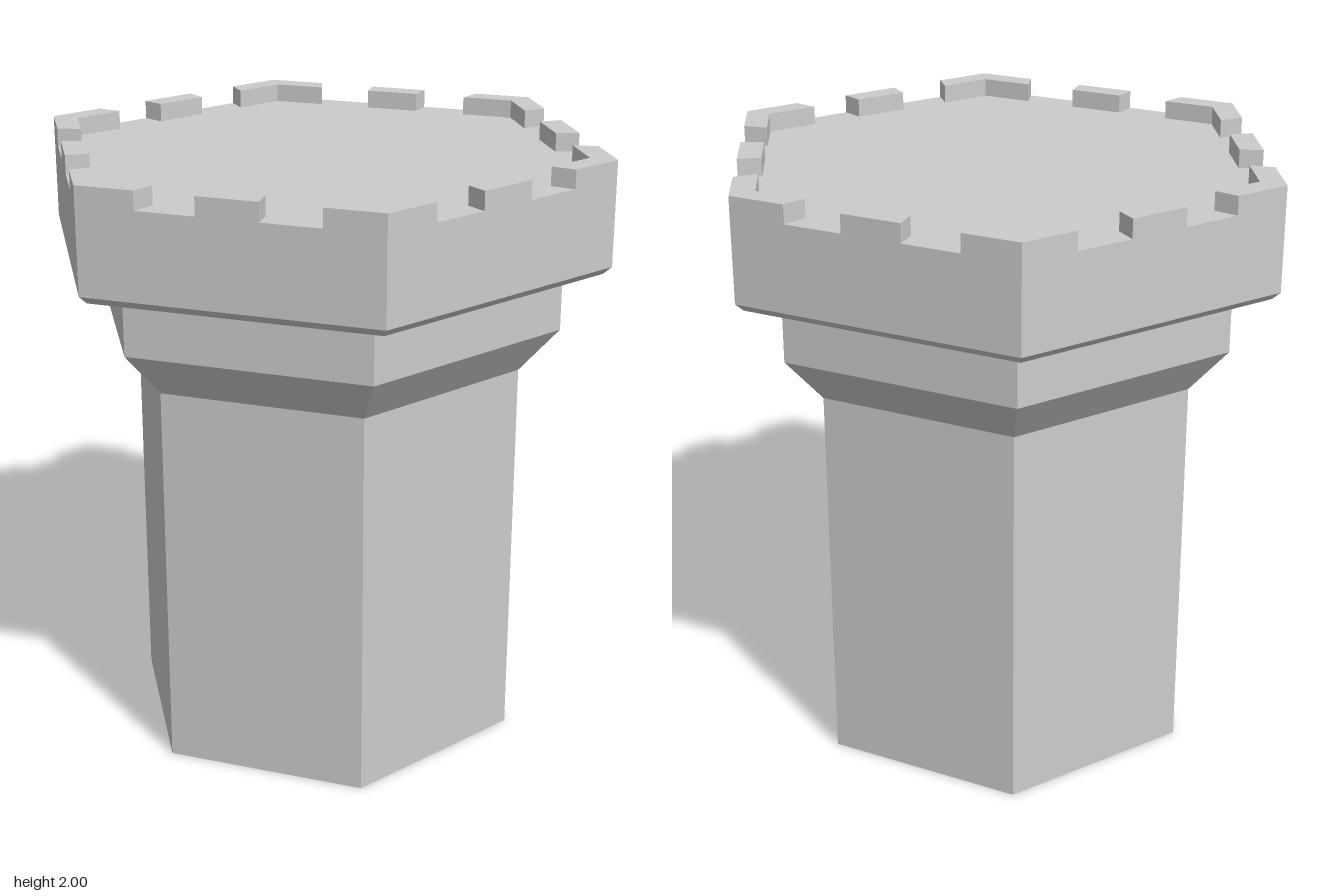
import * as THREE from 'three';

const SIDES = 6;
const HEAD_R = 0.951;   // corner radius of the head
const INNER_R = 0.864;  // corner radius of the battlement's inner wall
const FLOOR_Y = 1.94;
const TOP_Y = 2;

const material = new THREE.MeshStandardMaterial({ color: 0xcccccc, flatShading: true });

// Six-sided turned section from [radius, height] points, bottom to top
function section(name, profile) {
  const points = profile.map(([r, y]) => new THREE.Vector2(r, y));
  const mesh = new THREE.Mesh(new THREE.LatheGeometry(points, SIDES), material);
  mesh.name = name;
  return mesh;
}

// Upright block with the given outline, seen from above
function merlonGeometry(outline) {
  const shape = new THREE.Shape(outline.map(([x, y]) => new THREE.Vector2(x, y)));
  const geometry = new THREE.ExtrudeGeometry(shape, { depth: TOP_Y - FLOOR_Y, bevelEnabled: false });
  return geometry.rotateX(-Math.PI / 2).translate(0, FLOOR_Y, 0);
}

export function createModel() {
  const model = new THREE.Group();
  model.name = 'hexagonalTower';

  model.add(
    section('shaft', [[0, 0], [0.667, 0], [0.667, 1.29]]),
    section('collar', [[0.667, 1.29], [0.797, 1.44], [0.797, 1.637]]),
    section('head', [[0.797, 1.637], [0.924, 1.637], [HEAD_R, 1.662], [HEAD_R, FLOOR_Y], [0, FLOOR_Y]])
  );

  // Corner merlons wrap around each corner; their ends are cut radially
  const end = 0.188 / HEAD_R; // distance from the corner along the wall
  const sideX = end * Math.cos(Math.PI / 6);
  const sideY = 1 - end * Math.sin(Math.PI / 6);
  const corner = merlonGeometry([
    [0, HEAD_R], [-sideX * HEAD_R, sideY * HEAD_R], [-sideX * INNER_R, sideY * INNER_R],
    [0, INNER_R], [sideX * INNER_R, sideY * INNER_R], [sideX * HEAD_R, sideY * HEAD_R],
  ]);

  // Wall merlons stand in the middle of each wall
  const flat = Math.cos(Math.PI / 6);
  const half = 0.098 / HEAD_R;
  const wall = merlonGeometry([
    [-half * HEAD_R, flat * HEAD_R], [-half * INNER_R, flat * INNER_R],
    [half * INNER_R, flat * INNER_R], [half * HEAD_R, flat * HEAD_R],
  ]);

  const battlement = new THREE.Group();
  battlement.name = 'battlement';
  for (let i = 0; i < SIDES; i++) {
    const angle = (i * 2 * Math.PI) / SIDES;
    const cornerMerlon = new THREE.Mesh(corner, material);
    cornerMerlon.name = 'cornerMerlon';
    cornerMerlon.rotation.y = angle;
    const wallMerlon = new THREE.Mesh(wall, material);
    wallMerlon.name = 'wallMerlon';
    wallMerlon.rotation.y = angle + Math.PI / SIDES;
    battlement.add(cornerMerlon, wallMerlon);
  }
  model.add(battlement);

  return model;
}
